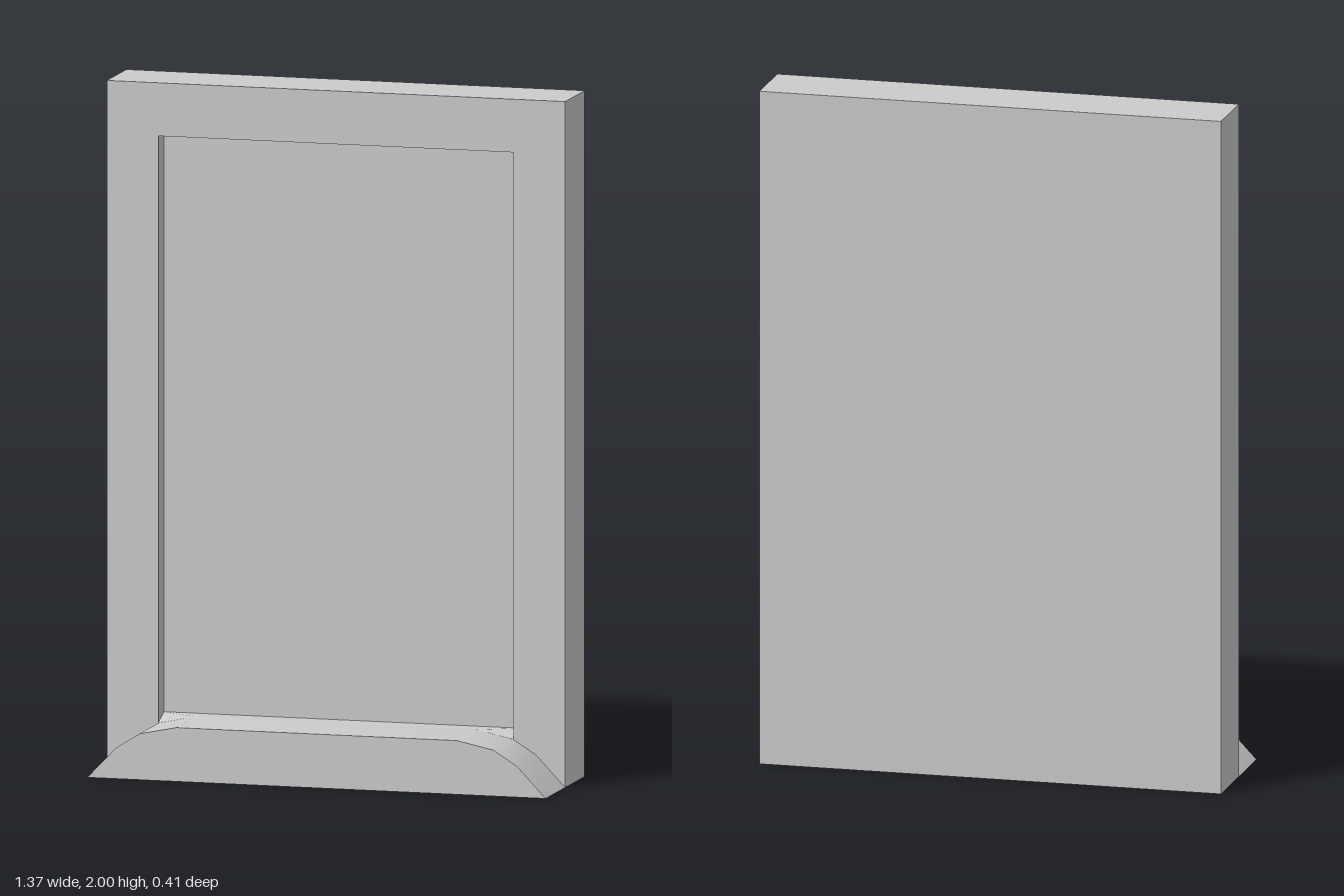
import * as THREE from 'three';
import { toCreasedNormals } from 'three/addons/utils/BufferGeometryUtils.js';

const W = 0.686, H = 2, D = 0.204;      // half width, height, thickness
const OX = 0.532, OTOP = 1.845;         // opening half width and top
const SILL = 0.157, RECESS = 0.06;      // sill height, recess depth
const CURVE = [[0.42, SILL], [0.53, 0.134], [0.6, 0.09], [W, 0]]; // rounded sill end

const material = new THREE.MeshStandardMaterial({ color: 0xcccccc });

function add(group, name, geometry, mat = material) {
  const mesh = new THREE.Mesh(geometry, mat);
  mesh.name = name;
  group.add(mesh);
  return mesh;
}

const outline = (points) => points.map(([x, y]) => new THREE.Vector2(x, y));

export function createModel() {
  const group = new THREE.Group();
  group.name = 'framedPanel';

  // Solid back of the panel
  add(group, 'backPanel', new THREE.BoxGeometry(2 * W, H, D - RECESS))
    .position.set(0, H / 2, -(D + RECESS) / 2);

  // Border around the recess; its lower edge follows the sill
  const border = new THREE.Shape(outline([[-W, 0], [W, 0], [W, H], [-W, H]]));
  border.holes.push(new THREE.Path(outline([
    [-OX, 0.134], [-OX, OTOP], [OX, OTOP], [OX, 0.134], [0.42, SILL], [-0.42, SILL],
  ])));
  add(group, 'frameBorder', new THREE.ExtrudeGeometry(border, { depth: RECESS, bevelEnabled: false }))
    .position.z = -RECESS;

  // Projecting sill with rounded shoulders
  const profile = [...CURVE.map(([x, y]) => [-x, y]).reverse(), ...CURVE];
  const sill = new THREE.ExtrudeGeometry(new THREE.Shape(outline(profile)), { depth: D, bevelEnabled: false });
  add(group, 'sill', toCreasedNormals(sill, 0.6));

  // Small sloping corners from the recess floor down to the shoulders
  const slopeMaterial = material.clone();
  slopeMaterial.side = THREE.DoubleSide;
  for (const s of [-1, 1]) {
    const slope = new THREE.BufferGeometry();
    slope.setAttribute('position', new THREE.Float32BufferAttribute([
      s * 0.42, SILL, 0, s * OX, 0.134, 0, s * OX, SILL, -RECESS, s * 0.42, SILL, -RECESS,
    ], 3));
    slope.setIndex(s > 0 ? [0, 1, 2, 0, 2, 3] : [0, 2, 1, 0, 3, 2]);
    slope.computeVertexNormals();
    add(group, s > 0 ? 'leftCornerSlope' : 'rightCornerSlope', slope, slopeMaterial);
  }

  return group;
}
